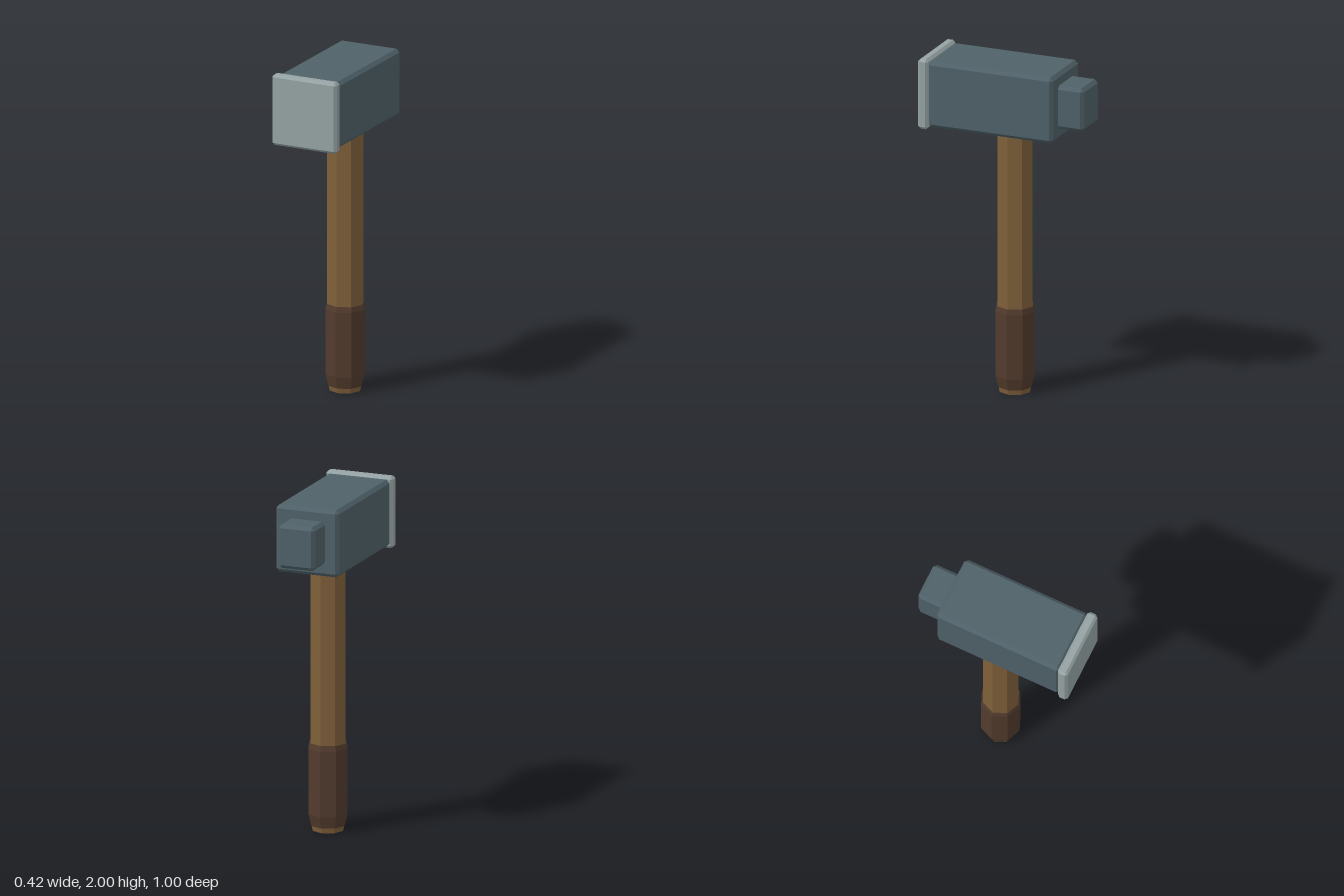
import * as THREE from 'three';
import { ConvexGeometry } from 'three/addons/geometries/ConvexGeometry.js';

const mat = (color) => new THREE.MeshStandardMaterial({ color, flatShading: true });

// Box with every edge chamfered by c, centred on the origin
function chamferBox(w, h, d, c) {
  const pts = [];
  for (const sx of [-1, 1]) for (const sy of [-1, 1]) for (const sz of [-1, 1]) {
    const x = w / 2, y = h / 2, z = d / 2;
    pts.push(
      new THREE.Vector3(sx * x, sy * (y - c), sz * (z - c)),
      new THREE.Vector3(sx * (x - c), sy * y, sz * (z - c)),
      new THREE.Vector3(sx * (x - c), sy * (y - c), sz * z));
  }
  return new ConvexGeometry(pts);
}

// Eight-sided turned part from [radius, y] pairs, bottom to top
const octagonal = (profile) =>
  new THREE.LatheGeometry(profile.map(([r, y]) => new THREE.Vector2(r, y)), 8);

export function createModel() {
  const group = new THREE.Group();
  const steel = mat(0x4f6169);
  const paleSteel = mat(0x95a2a3);
  const wood = mat(0x80603b);
  const leather = mat(0x523b2d);

  const add = (name, geometry, material, y, z) => {
    const mesh = new THREE.Mesh(geometry, material);
    mesh.name = name;
    mesh.position.set(0, y, z);
    group.add(mesh);
  };

  // Shaft, its bevelled butt showing below the grip
  const shaftZ = -0.022;
  add('handle', octagonal([[0, 0], [0.094, 0], [0.101, 0.03], [0.109, 0.12], [0.109, 1.75], [0, 1.75]]),
    wood, 0, shaftZ);
  add('grip', octagonal([[0.09, 0.03], [0.103, 0.03], [0.12, 0.1], [0.12, 0.49], [0.112, 0.522], [0.1, 0.522]]),
    leather, 0, shaftZ);

  // Head: main block, striking plate in front, small peen behind
  add('headBlock', chamferBox(0.393, 0.398, 0.785, 0.02), steel, 1.789, 0.052);
  add('strikingPlate', chamferBox(0.418, 0.424, 0.063, 0.015), paleSteel, 1.788, 0.4685);
  add('rearPeen', chamferBox(0.228, 0.26, 0.2, 0.02), steel, 1.788, -0.4);

  return group;
}
